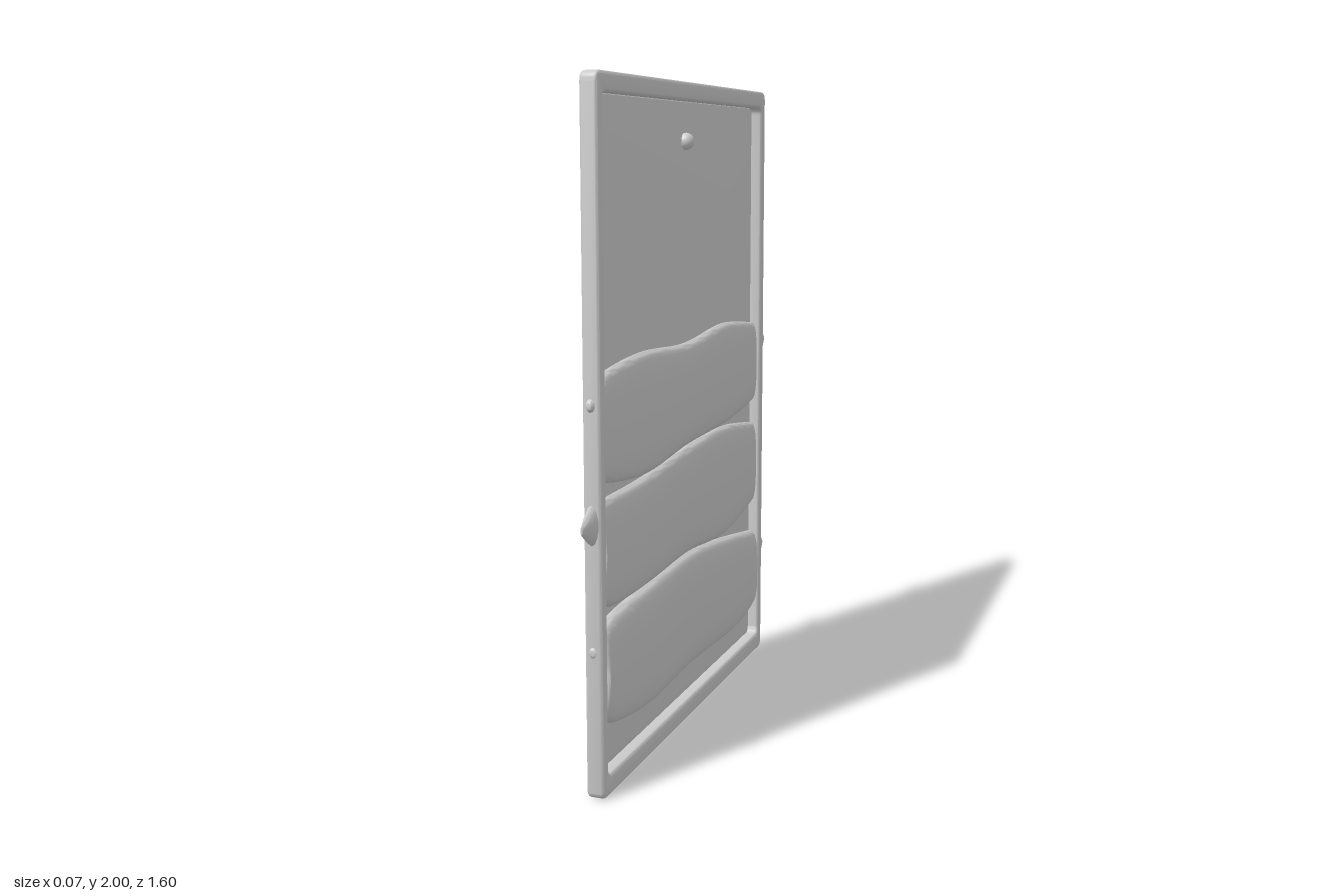
import * as THREE from 'three';
import { toCreasedNormals, mergeVertices } from 'three/addons/utils/BufferGeometryUtils.js';

const material = new THREE.MeshStandardMaterial({ color: 0xcccccc });

function addMesh(group, name, geometry) {
  const mesh = new THREE.Mesh(geometry, material);
  mesh.name = name;
  group.add(mesh);
  return mesh;
}

// Rounded rectangle in the door plane; its horizontal axis becomes -z
function roundedRect(target, u0, u1, y0, y1, r) {
  target.moveTo(u0 + r, y0);
  target.lineTo(u1 - r, y0);
  target.quadraticCurveTo(u1, y0, u1, y0 + r);
  target.lineTo(u1, y1 - r);
  target.quadraticCurveTo(u1, y1, u1 - r, y1);
  target.lineTo(u0 + r, y1);
  target.quadraticCurveTo(u0, y1, u0, y1 - r);
  target.lineTo(u0, y0 + r);
  target.quadraticCurveTo(u0, y0, u0 + r, y0);
  return target;
}

// Extrude a shape so that it fills x0..x1 with rounded edges
function slab(shape, x0, x1, bevel) {
  const geometry = new THREE.ExtrudeGeometry(shape, {
    depth: x1 - x0 - 2 * bevel, curveSegments: 6,
    bevelThickness: bevel, bevelSize: bevel, bevelOffset: -bevel, bevelSegments: 3,
  });
  geometry.translate(0, 0, x0 + bevel);
  geometry.rotateY(Math.PI / 2);
  return toCreasedNormals(geometry, 0.6);
}

// Wavy padded strip lofted along z between a top and a bottom curve of [z, y] points
function strip(top, bottom, xBack, xFront) {
  const curve = (pts) => new THREE.SplineCurve(pts.map(([z, y]) => new THREE.Vector2(z, y)));
  const topCurve = curve(top), bottomCurve = curve(bottom);
  const steps = 60, sides = 40, positions = [], index = [];
  const power = (v, e) => Math.sign(v) * Math.abs(v) ** e;
  for (let i = 0; i <= steps; i++) {
    const t = i / steps;
    const a = topCurve.getPoint(t), b = bottomCurve.getPoint(t);
    const mid = (a.y + b.y) / 2, half = (a.y - b.y) / 2;
    const swell = 0.7 + 0.3 * Math.sin(Math.PI * t) ** 0.6;
    const endRound = Math.min(1, 0.45 + 9 * t);
    for (let j = 0; j < sides; j++) {
      const angle = (j / sides) * Math.PI * 2;
      const c = power(Math.cos(angle), 0.6), s = power(Math.sin(angle), 0.65);
      const depth = c > 0 ? xFront + 0.015 : -0.015 - xBack;
      // the first end carries a shallow notch halfway up
      const notch = 0.02 * Math.max(0, 1 - t * 12) * Math.exp(-((s * 3) ** 2));
      positions.push(-0.015 + c * depth * swell * endRound, mid + s * half,
        a.y === b.y ? a.x : THREE.MathUtils.lerp(b.x, a.x, (s + 1) / 2) - notch);
    }
  }
  for (let i = 0; i < steps; i++) {
    for (let j = 0; j < sides; j++) {
      const k = (j + 1) % sides;
      const p = i * sides + j, q = i * sides + k;
      index.push(p, p + sides, q, q, p + sides, q + sides);
    }
  }
  // close both ends
  for (let j = 1; j < sides - 1; j++) {
    const e = steps * sides;
    index.push(0, j, j + 1, e, e + j + 1, e + j);
  }
  const geometry = new THREE.BufferGeometry();
  geometry.setAttribute('position', new THREE.Float32BufferAttribute(positions, 3));
  geometry.setIndex(index);
  return toCreasedNormals(geometry, 1);
}

// Blunt flattened spike on an edge of the frame, pointing along z
function spike(y, zBase, zTip, baseHalf, tipHalf, xHalf) {
  const length = Math.abs(zTip - zBase), direction = Math.sign(zTip - zBase);
  const profile = [
    [0, 0], [baseHalf, 0], [baseHalf * 0.62 + tipHalf * 0.38, length * 0.4],
    [tipHalf * 1.15, length * 0.9], [tipHalf * 0.7, length], [0, length],
  ].map(([r, h]) => new THREE.Vector2(r, h));
  const geometry = new THREE.LatheGeometry(profile, 14);
  geometry.rotateX(direction * Math.PI / 2);
  geometry.scale(xHalf / baseHalf, 1, 1);
  geometry.translate(-0.003, y, zBase);
  return toCreasedNormals(mergeVertices(geometry), 0.7);
}

export function createModel() {
  const group = new THREE.Group();
  group.name = 'paddedDoor';

  // Frame with rounded edges
  const frameShape = roundedRect(new THREE.Shape(), -0.735, 0.71, 0, 2, 0.03);
  frameShape.holes.push(roundedRect(new THREE.Path(), -0.695, 0.67, 0.06, 1.945, 0.025));
  addMesh(group, 'frame', slab(frameShape, -0.027, 0.025, 0.009));

  // Recessed panel, standing slightly proud of the frame at the back
  const panelShape = roundedRect(new THREE.Shape(), -0.695, 0.67, 0.06, 1.945, 0.025);
  addMesh(group, 'panel', slab(panelShape, -0.036, -0.012, 0.003));

  // Round knob near the top
  const knob = addMesh(group, 'knob', new THREE.SphereGeometry(0.026, 24, 16));
  knob.position.set(-0.006, 1.825, -0.005);

  // Three wavy strips across the panel
  const strips = [
    {
      name: 'upperStrip', front: 0.022,
      top: [[0.695, 1.17], [0.62, 1.2], [0.35, 1.22], [0, 1.205], [-0.36, 1.23], [-0.69, 1.2]],
      bottom: [[0.695, 0.93], [0.62, 0.885], [0.33, 0.855], [0, 0.88], [-0.4, 0.89], [-0.69, 0.925]],
    },
    {
      name: 'middleStrip', front: 0.023,
      top: [[0.695, 0.84], [0.62, 0.845], [0.36, 0.85], [0, 0.875], [-0.36, 0.88], [-0.69, 0.84]],
      bottom: [[0.695, 0.565], [0.6, 0.525], [0.33, 0.52], [0, 0.53], [-0.36, 0.505], [-0.69, 0.555]],
    },
    {
      name: 'lowerStrip', front: 0.033,
      top: [[0.695, 0.475], [0.6, 0.505], [0.33, 0.52], [0, 0.53], [-0.3, 0.5], [-0.69, 0.44]],
      bottom: [[0.695, 0.23], [0.6, 0.18], [0.33, 0.145], [0, 0.155], [-0.48, 0.138], [-0.69, 0.17]],
    },
  ];
  for (const { name, top, bottom, front } of strips) {
    addMesh(group, name, strip(top, bottom, -0.038, front));
  }

  // Spikes and small studs along both side edges: y, base z, tip z, base half, tip half, x half
  const spikes = [
    [1.13, -0.705, -0.795, 0.075, 0.016, 0.024],
    [0.775, -0.705, -0.755, 0.06, 0.012, 0.02],
    [0.37, -0.705, -0.795, 0.072, 0.016, 0.024],
    [0.79, 0.73, 0.8, 0.06, 0.014, 0.022],
  ];
  for (const s of spikes) addMesh(group, 'edgeSpike', spike(...s));
  const studs = [[1.12, 0.73, 0.748], [0.43, 0.73, 0.739], [0.97, -0.705, -0.718], [0.62, -0.705, -0.72]];
  for (const [y, zBase, zTip] of studs) {
    addMesh(group, 'edgeStud', spike(y, zBase, zTip, 0.022, 0.01, 0.016));
  }

  return group;
}
